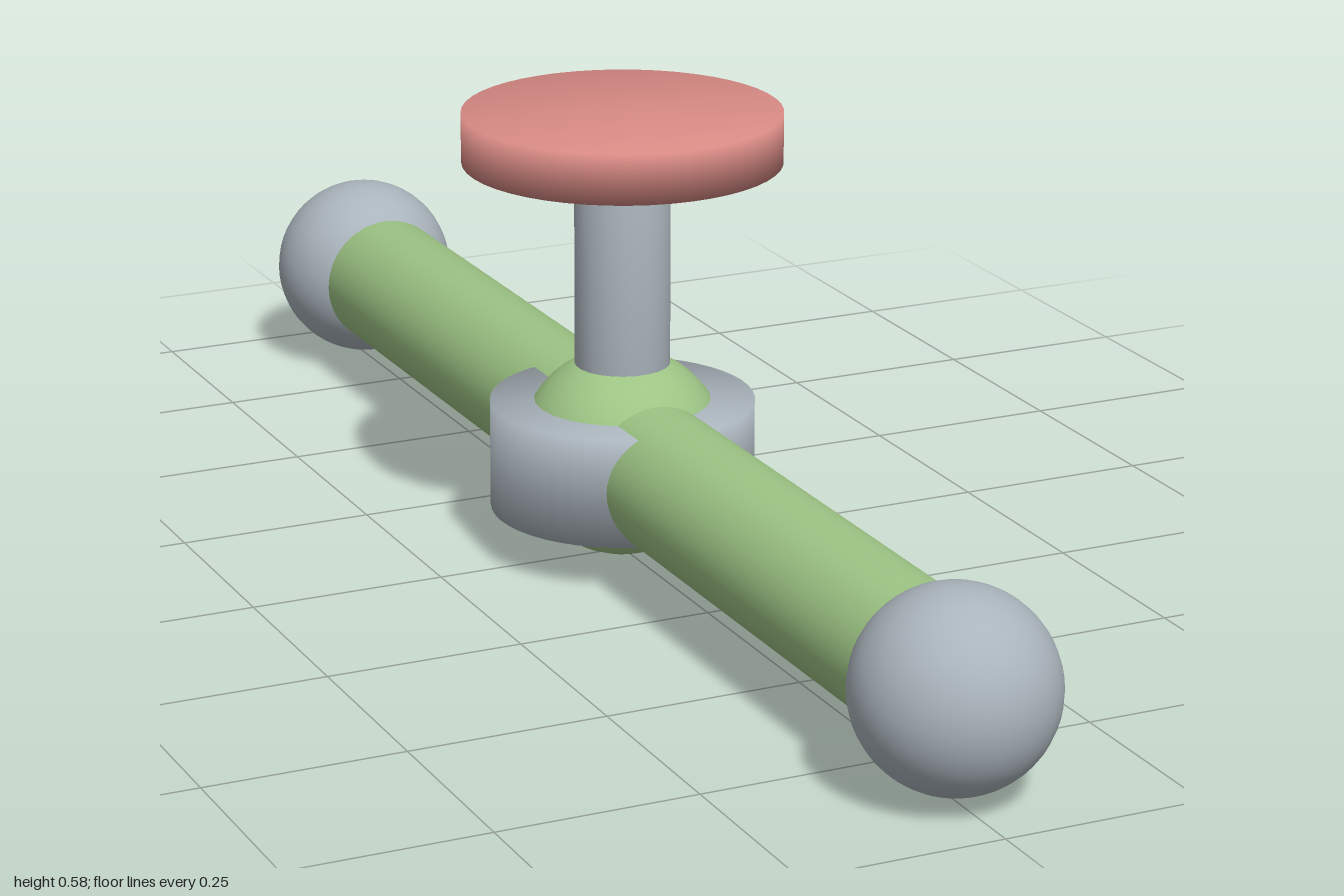
import * as THREE from 'three';

const steel = new THREE.MeshStandardMaterial({ color: 0xaab4bc });
steel.name = 'steel grey';
const green = new THREE.MeshStandardMaterial({ color: 0x9dc484 });
green.name = 'soft green';
const red = new THREE.MeshStandardMaterial({ color: 0xd98b85 });
red.name = 'soft red';

const AXIS = 0.133; // height of the bar's centre line

export function createModel() {
  const model = new THREE.Group();
  model.name = 'handle';

  const add = (name, geometry, material, y, z = 0) => {
    const mesh = new THREE.Mesh(geometry, material);
    mesh.name = name;
    mesh.position.set(0, y, z);
    model.add(mesh);
    return mesh;
  };

  // Closed cylinder whose shading runs smoothly over the rims
  const softCylinder = (radius, height) => new THREE.LatheGeometry([
    new THREE.Vector2(0, -height / 2),
    new THREE.Vector2(radius, -height / 2),
    new THREE.Vector2(radius, height / 2),
    new THREE.Vector2(0, height / 2),
  ], 48);

  // Long horizontal bar with a ball at each end
  const bar = add('bar', softCylinder(0.087, 1.76), green, AXIS);
  bar.rotation.x = Math.PI / 2;
  for (const [name, side] of [['frontBall', 1], ['backBall', -1]]) {
    add(name, new THREE.SphereGeometry(0.121, 40, 28), steel, AXIS, side * 0.879);
  }

  // Hub: a ball poking through a short collar
  add('hubBall', new THREE.SphereGeometry(0.132, 24, 20), green, AXIS);
  add('hubCollar', softCylinder(0.167, 0.14), steel, AXIS);

  // Upright stem carrying the round pad
  add('stem', softCylinder(0.06, 0.4), steel, 0.333);
  add('pad', softCylinder(0.2, 0.064), red, 0.545);

  return model;
}
